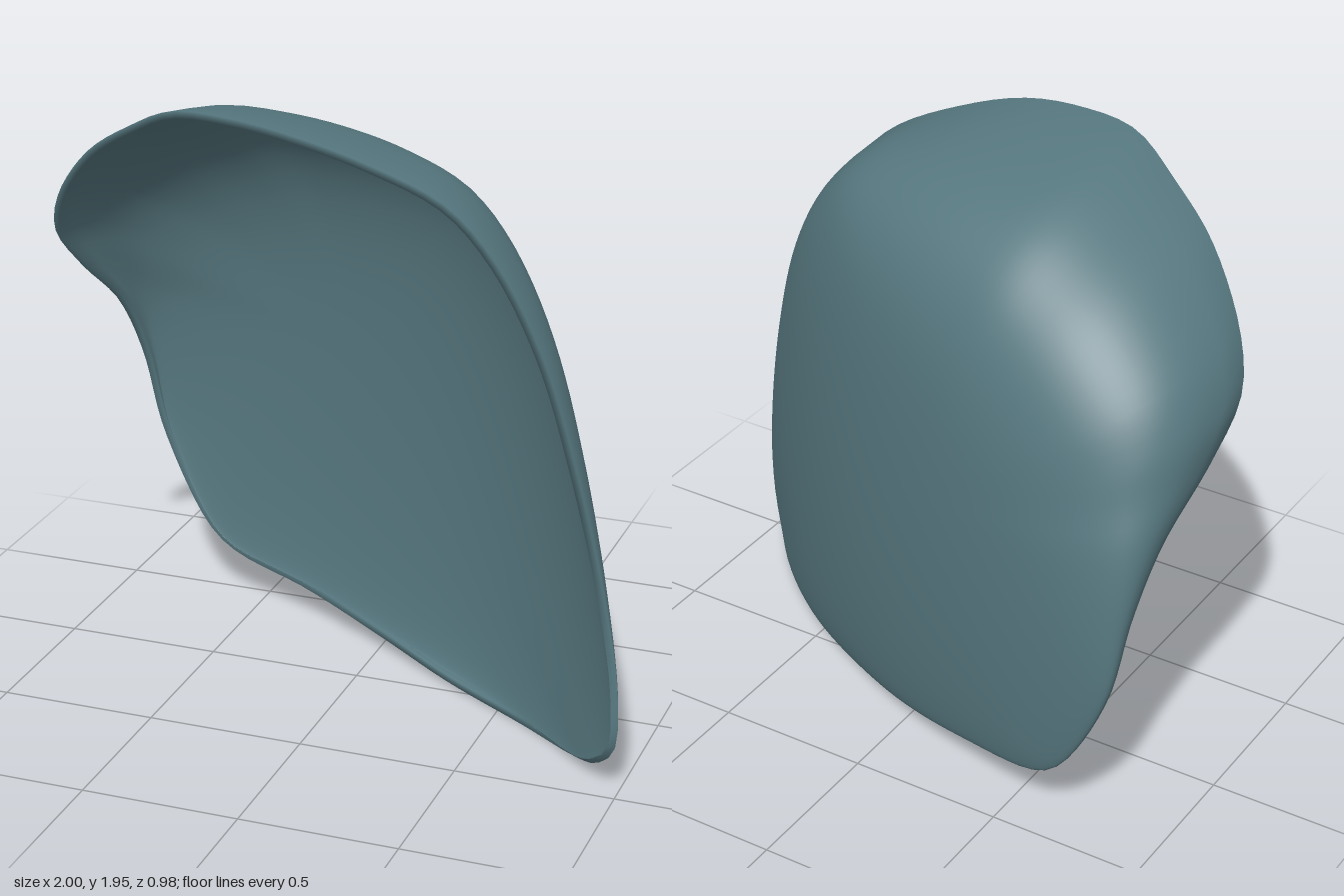
import * as THREE from 'three';

const SEGMENTS = 120; // around the rim
const RINGS = 44;     // from the centre of the plate to the rim
const THICKNESS = 0.022;
const CENTRE = { x: -0.05, y: 0.95 };

// Rim of the shell: over the top, down the right edge, back along the bottom
const RIM = [
  [-1, 1.4, 0.03], [-0.95, 1.54, 0.11], [-0.78, 1.74, 0.24], [-0.6, 1.86, 0.33], [-0.42, 1.945, 0.41],
  [-0.2, 1.95, 0.45], [0, 1.92, 0.465], [0.2, 1.855, 0.44], [0.42, 1.745, 0.4], [0.57, 1.59, 0.395],
  [0.72, 1.33, 0.41], [0.84, 1.0, 0.44], [0.945, 0.6, 0.46], [0.995, 0.32, 0.48], [0.99, 0.15, 0.48],
  [0.92, 0.065, 0.42], [0.82, 0.015, 0.31], [0.6, 0, 0.14], [0.3, 0.015, -0.03], [0, 0.055, -0.2],
  [-0.3, 0.115, -0.33], [-0.6, 0.175, -0.42], [-0.7, 0.25, -0.44], [-0.86, 0.56, -0.455],
  [-0.91, 0.85, -0.41], [-0.945, 1.06, -0.31], [-0.985, 1.24, -0.12],
];

// Depth of the slanted, gently curved back plate
function plateDepth(x, y) {
  return -0.295 + 0.41 * x + 0.17 * x * x + 0.17 * Math.max(x, 0) ** 3 + 0.07 * (y - 0.8) ** 2;
}

// Rounded bend from the flat plate (0) into the wall at the rim (1); a larger n is tighter
function bend(k, n) {
  return 1 - Math.pow(Math.max(0, 1 - k ** n), 1 / n);
}

// How far the wall leans inwards towards the back: most at the upper left
function lean(dx, dy, radius, depth) {
  const facing = Math.max(0, (-0.45 * dx + 0.89 * dy) / radius);
  return 0.19 * facing ** 2 * Math.max(0, depth) / radius;
}

function buildShell() {
  const curve = new THREE.CatmullRomCurve3(RIM.map(p => new THREE.Vector3(...p)), true);
  const rim = curve.getSpacedPoints(SEGMENTS).slice(0, SEGMENTS);
  const positions = [];
  const outerIndex = [];
  const at = (i, j) => i * SEGMENTS + (j % SEGMENTS);

  // Outer skin, ring by ring
  for (let i = 0; i <= RINGS; i++) {
    const k = Math.sin((i / RINGS) * Math.PI / 2);
    for (const r of rim) {
      const dx = r.x - CENTRE.x, dy = r.y - CENTRE.y;
      const radius = Math.hypot(dx, dy);
      const depth = r.z - plateDepth(r.x, r.y);
      const rise = bend(k, 4.3 + 1.0 * dx / radius);
      const s = k * (1 - lean(dx, dy, radius, depth) * (1 - rise));
      const x = CENTRE.x + dx * s;
      const y = CENTRE.y + dy * s;
      positions.push(x, y, plateDepth(x, y) + depth * rise);
    }
  }
  for (let i = 0; i < RINGS; i++) {
    for (let j = 0; j < SEGMENTS; j++) {
      const a = at(i, j), b = at(i + 1, j), c = at(i + 1, j + 1), d = at(i, j + 1);
      outerIndex.push(a, b, c);
      if (i > 0) outerIndex.push(a, c, d);
    }
  }
  const outer = new THREE.BufferGeometry();
  outer.setAttribute('position', new THREE.Float32BufferAttribute(positions, 3));
  outer.setIndex(outerIndex);
  outer.computeVertexNormals();

  // Inner skin: the outer one moved inwards along its normals
  const normals = outer.attributes.normal.array;
  const count = positions.length / 3;
  const all = positions.concat(positions.map((p, i) => p - normals[i] * THICKNESS));
  const index = outerIndex.slice();
  for (let t = 0; t < outerIndex.length; t += 3) {
    index.push(outerIndex[t] + count, outerIndex[t + 2] + count, outerIndex[t + 1] + count);
  }

  // Edge strip joining both skins
  for (let j = 0; j < SEGMENTS; j++) {
    const a = at(RINGS, j), b = at(RINGS, j + 1);
    index.push(a, a + count, b + count, a, b + count, b);
  }
  const shell = new THREE.BufferGeometry();
  shell.setAttribute('position', new THREE.Float32BufferAttribute(all, 3));
  shell.setIndex(index);
  shell.computeVertexNormals();
  return shell;
}

export function createModel() {
  const group = new THREE.Group();
  group.name = 'curvedPlate';
  const material = new THREE.MeshStandardMaterial({ color: 0x56777f, side: THREE.DoubleSide });
  const shell = new THREE.Mesh(buildShell(), material);
  shell.name = 'shell';
  group.add(shell);
  return group;
}
